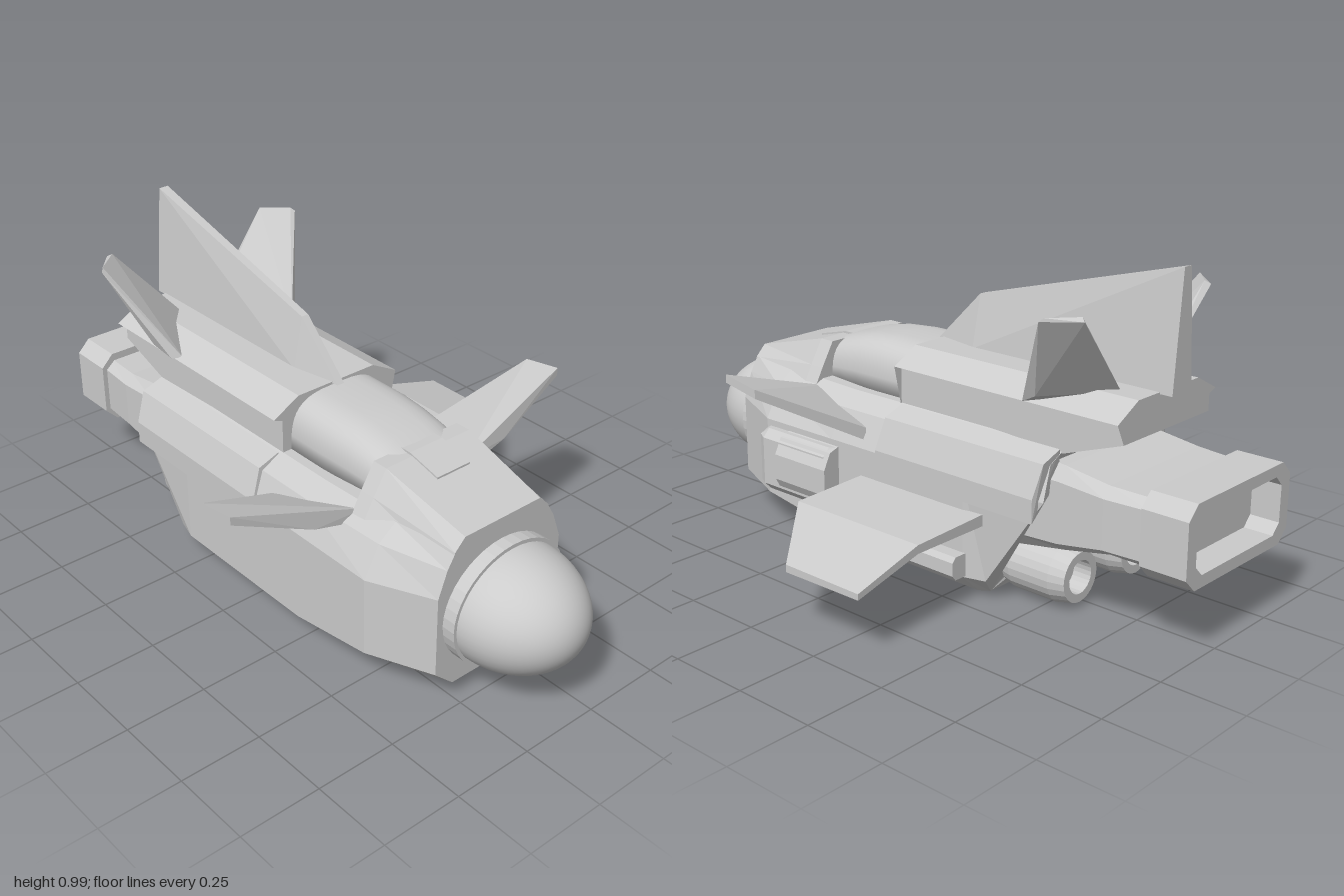
import * as THREE from 'three';
import { mergeVertices } from 'three/addons/utils/BufferGeometryUtils.js';
import { ConvexGeometry } from 'three/addons/geometries/ConvexGeometry.js';

const flat = new THREE.MeshStandardMaterial({ color: 0xcccccc, flatShading: true });
const smooth = new THREE.MeshStandardMaterial({ color: 0xcccccc, side: THREE.DoubleSide });

// Skin over half sections [x, y, z], listed bottom to top and front to rear, mirrored in x
function loft(halves, isSmooth = false) {
  const rings = halves.map(h => [...h, ...h.slice().reverse().map(([x, y, z]) => [-x, y, z])]);
  const n = rings[0].length, pos = [];
  const tri = (...p) => p.forEach(v => pos.push(...v));
  for (let i = 0; i < rings.length - 1; i++) {
    for (let j = 0; j < n; j++) {
      const k = (j + 1) % n, a = rings[i], b = rings[i + 1];
      tri(a[j], b[j], a[k]);
      tri(a[k], b[j], b[k]);
    }
  }
  const first = rings[0], last = rings[rings.length - 1];
  if (!isSmooth) {
    for (let j = 1; j < n - 1; j++) {
      tri(first[0], first[j], first[j + 1]);
      tri(last[0], last[j + 1], last[j]);
    }
  }
  let g = new THREE.BufferGeometry();
  g.setAttribute('position', new THREE.Float32BufferAttribute(pos, 3));
  if (isSmooth) g = mergeVertices(g, 1e-4);
  g.computeVertexNormals();
  return g;
}

const section = (z, pts) => pts.map(([x, y]) => [x, y, z]);

// Convex solid around points, optionally mirrored in x
function solid(points, side = 1) {
  return new ConvexGeometry(points.map(([x, y, z]) => new THREE.Vector3(x * side, y, z)));
}

// Rectangle with cut corners
function cutRect(path, w, h, c) {
  const pts = [[-w + c, -h], [w - c, -h], [w, -h + c], [w, h - c], [w - c, h], [-w + c, h], [-w, h - c], [-w, -h + c]];
  path.setFromPoints(pts.map(p => new THREE.Vector2(...p)));
  return path;
}

export function createModel() {
  const model = new THREE.Group();
  const craft = new THREE.Group();
  craft.name = 'craft';
  craft.position.x = -0.09;
  model.add(craft);
  const add = (name, geometry, x = 0, y = 0, z = 0, material = flat) => {
    const m = new THREE.Mesh(geometry, material);
    m.name = name;
    m.position.set(x, y, z);
    craft.add(m);
    return m;
  };

  // Main hull with a raked stern
  const mid = [[0.24, 0.005], [0.31, 0.07], [0.31, 0.36], [0.27, 0.455], [0.2, 0.49]];
  const sternZ = [-0.33, -0.37, -0.57, -0.56, -0.56];
  add('hull', loft([
    section(0.72, [[0.165, 0.06], [0.23, 0.12], [0.23, 0.37], [0.2, 0.45], [0.17, 0.5]]),
    section(0.52, [[0.22, 0.05], [0.31, 0.115], [0.31, 0.36], [0.26, 0.455], [0.2, 0.5]]),
    section(0.23, mid),
    section(-0.3, mid),
    mid.map(([x, y], i) => [x - 0.02, y, sternZ[i]]),
  ]));

  // Cowl ahead of the canopy, with a small sensor block
  add('cowl', loft([
    section(0.72, [[0.19, 0.44], [0.175, 0.495], [0.14, 0.53]]),
    section(0.43, [[0.25, 0.44], [0.2, 0.53], [0.155, 0.605]]),
    section(0.38, [[0.25, 0.44], [0.2, 0.53], [0.155, 0.605]]),
  ]));
  add('sensorBlock', solid([-0.06, 0.06].flatMap(x => [
    [x, 0.56, 0.53], [x, 0.585, 0.53], [x, 0.612, 0.42], [x, 0.612, 0.35], [x, 0.56, 0.35]])));

  // Canopy
  const arch = (z, w, top) => Array.from({ length: 11 }, (_, i) => {
    const a = i / 10 * Math.PI / 2;
    return [w * Math.max(0, Math.cos(a)) ** 0.6, 0.48 + (top - 0.48) * Math.sin(a) ** 0.6, z];
  });
  add('canopy', loft([arch(0.43, 0.155, 0.6), arch(0.35, 0.16, 0.625), arch(0.27, 0.165, 0.64),
    arch(0.18, 0.17, 0.647), arch(0.03, 0.17, 0.647)], true), 0, 0, 0, smooth);

  // Nose dome and collar
  const collar = add('noseCollar', new THREE.CylinderGeometry(0.21, 0.21, 0.05, 40), 0, 0.275, 0.737);
  collar.rotation.x = Math.PI / 2;
  collar.scale.z = 0.9;
  const dome = add('noseDome', new THREE.SphereGeometry(1, 40, 16, 0, Math.PI * 2, 0, Math.PI / 2), 0, 0.275, 0.755, smooth);
  dome.rotation.x = Math.PI / 2;
  dome.scale.set(0.2, 0.245, 0.178);

  // Dorsal deck and centre fin
  const deck = (z, y) => section(z, [[0.2, y], [0.2, 0.595], [0.23, 0.607], [0.14, 0.655]]);
  add('dorsalDeck', loft([deck(0.04, 0.47), deck(-0.56, 0.475), deck(-0.76, 0.545)]));
  add('centreFin', solid([1, -1].flatMap(s => [
    [s * 0.012, 0.65, 0.06], [s * 0.045, 0.65, -0.1], [s * 0.045, 0.65, -0.8],
    [s * 0.012, 0.81, -0.1], [s * 0.016, 0.995, -0.8]])));

  for (const s of [1, -1]) {
    const side = s > 0 ? 'left' : 'right';
    // Shoulder armour beside the deck
    add(side + 'Shoulder', solid([0.04, -0.55].flatMap(z => [
      [0.314, 0.3, z], [0.314, 0.37, z], [0.28, 0.465, z - 0.01], [0.21, 0.49, z - 0.01], [0.2, 0.4, z]]), s));
    // Splayed tail fin
    add(side + 'TailFin', solid([
      [0.21, 0.61, -0.43], [0.24, 0.61, -0.45], [0.26, 0.64, -0.51], [0.07, 0.645, -0.635], [0.085, 0.645, -0.665],
      [0.355, 0.89, -0.61], [0.365, 0.88, -0.6], [0.28, 0.89, -0.675], [0.29, 0.88, -0.69]], s));
    // Canard
    add(side + 'Canard', solid([
      [0.19, 0.43, 0.385], [0.19, 0.47, 0.385], [0.29, 0.38, 0.1], [0.29, 0.42, 0.1], [0.36, 0.47, 0.375],
      [0.61, 0.58, 0.345], [0.61, 0.605, 0.345], [0.61, 0.558, 0.22], [0.61, 0.585, 0.22]], s));
    // Small round thruster
    const profile = [[0.0, 0.1], [0.08, 0.1], [0.087, 0.13], [0.087, 0.27], [0.075, 0.32],
      [0.05, 0.32], [0.05, 0.26], [0, 0.26]].map(p => new THREE.Vector2(...p));
    const jet = new THREE.LatheGeometry(profile, 24).toNonIndexed();
    jet.computeVertexNormals();
    add(side + 'Thruster', jet, s * 0.135, 0.098, -0.265).rotation.x = -Math.PI / 2;
  }

  // Main engine duct and hollow nozzle
  add('engineDuct', loft([
    section(-0.4, [[0.2, 0.17], [0.24, 0.22], [0.24, 0.41], [0.2, 0.46]]),
    section(-0.58, [[0.2, 0.2], [0.24, 0.23], [0.24, 0.41], [0.21, 0.45]]),
    section(-0.73, [[0.2, 0.23], [0.24, 0.255], [0.24, 0.4], [0.21, 0.43]]),
    section(-0.87, [[0.2, 0.23], [0.23, 0.255], [0.23, 0.4], [0.2, 0.425]]),
  ]));
  const rim = cutRect(new THREE.Shape(), 0.247, 0.12, 0.04);
  rim.holes.push(cutRect(new THREE.Path(), 0.205, 0.085, 0.03));
  add('nozzle', new THREE.ExtrudeGeometry(rim, { depth: 0.145, bevelEnabled: false }), 0, 0.33, -1);
  add('nozzleBack', new THREE.BoxGeometry(0.43, 0.19, 0.05), 0, 0.33, -0.885);

  // Single main wing in two panels: level inner part, drooping outer part
  const rib = (x, front, back, low, high, lowBack, highBack) => [
    [x, low, front], [x, high, front], [x, lowBack, back], [x, highBack, back]];
  const kink = rib(0.56, 0.105, -0.365, 0.215, 0.265, 0.24, 0.265);
  add('wingInner', solid([...rib(0.29, 0.105, -0.365, 0.22, 0.275, 0.24, 0.275), ...kink]));
  add('wingOuter', solid([...kink, ...rib(0.785, -0.09, -0.365, 0.178, 0.2, 0.182, 0.2)]));

  // Side pod and lower rail on the winged side
  add('sidePod', solid([0.14, 0.165, 0.315, 0.34].flatMap((y, i) => {
    const inner = i === 1 || i === 2;
    const out = inner ? 0.355 : 0.33;
    return [[0.29, y, 0.52], [0.29, y, 0.2], [out - 0.02, y, inner ? 0.525 : 0.5],
      [out, y, 0.49], [out, y, 0.22], [out - 0.02, y, 0.2]];
  })));
  add('sidePodBulge', solid([[0.3, 0.14], [0.345, 0.155], [0.37, 0.2], [0.37, 0.28], [0.345, 0.33], [0.3, 0.345]]
    .flatMap(([x, y]) => [[x, y, 0.42], [x, y, 0.2]])));
  add('lowerRail', solid([0.105, -0.31].flatMap(z => [
    [0.29, 0.075, z], [0.35, 0.075, z], [0.362, 0.09, z], [0.362, 0.13, z], [0.35, 0.145, z], [0.29, 0.145, z]])));

  return model;
}
